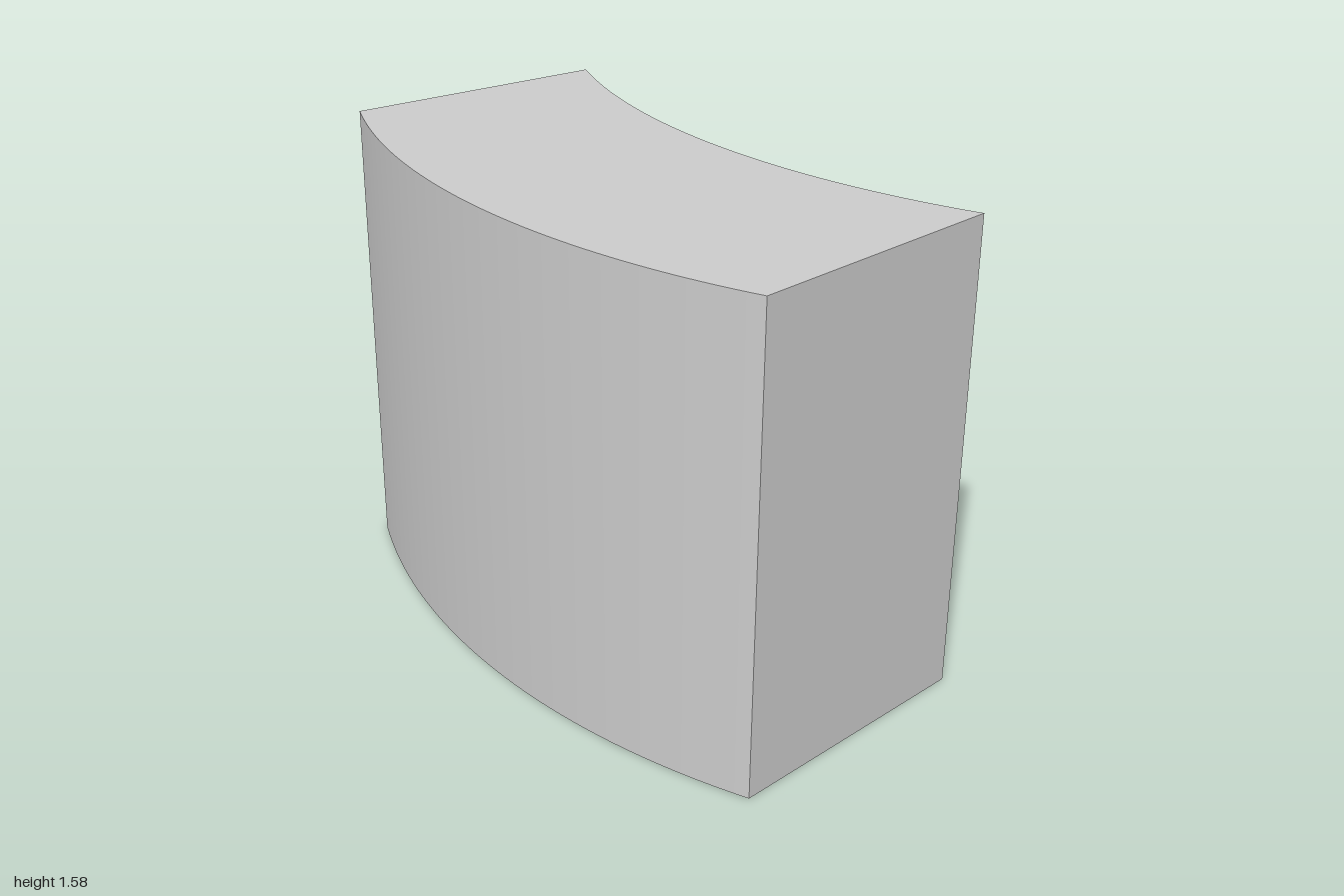
import * as THREE from 'three';
import { toCreasedNormals } from 'three/addons/utils/BufferGeometryUtils.js';

const HEIGHT = 1.575;

// Append the circular arc running through three [x, y] points to a shape.
function arcThrough(shape, [ax, ay], [bx, by], [cx, cy], clockwise) {
  const d = 2 * (ax * (by - cy) + bx * (cy - ay) + cx * (ay - by));
  const a = ax * ax + ay * ay, b = bx * bx + by * by, c = cx * cx + cy * cy;
  const x = (a * (by - cy) + b * (cy - ay) + c * (ay - by)) / d;
  const y = (a * (cx - bx) + b * (ax - cx) + c * (bx - ax)) / d;
  shape.absarc(x, y, Math.hypot(ax - x, ay - y),
    Math.atan2(ay - y, ax - x), Math.atan2(cy - y, cx - x), clockwise);
}

export function createModel() {
  const group = new THREE.Group();
  group.name = 'curvedBlock';

  // Plan outline (shape y = -z): bulging front, hollow back, tapered ends.
  const plan = new THREE.Shape();
  arcThrough(plan, [-1, -0.335], [0, -0.549], [1, -0.345], false);
  arcThrough(plan, [0.932, 0.541], [0, 0.351], [-0.935, 0.55], true);
  plan.closePath();

  // Raise the plan into a block standing on the ground.
  const block = new THREE.ExtrudeGeometry(plan, {
    depth: HEIGHT, bevelEnabled: false, curveSegments: 40,
  }).rotateX(-Math.PI / 2);

  // Smooth curved faces, sharp corners.
  const mesh = new THREE.Mesh(
    toCreasedNormals(block, 0.5),
    new THREE.MeshStandardMaterial({ color: 0xcccccc }),
  );
  mesh.name = 'archSegment';
  group.add(mesh);
  return group;
}
